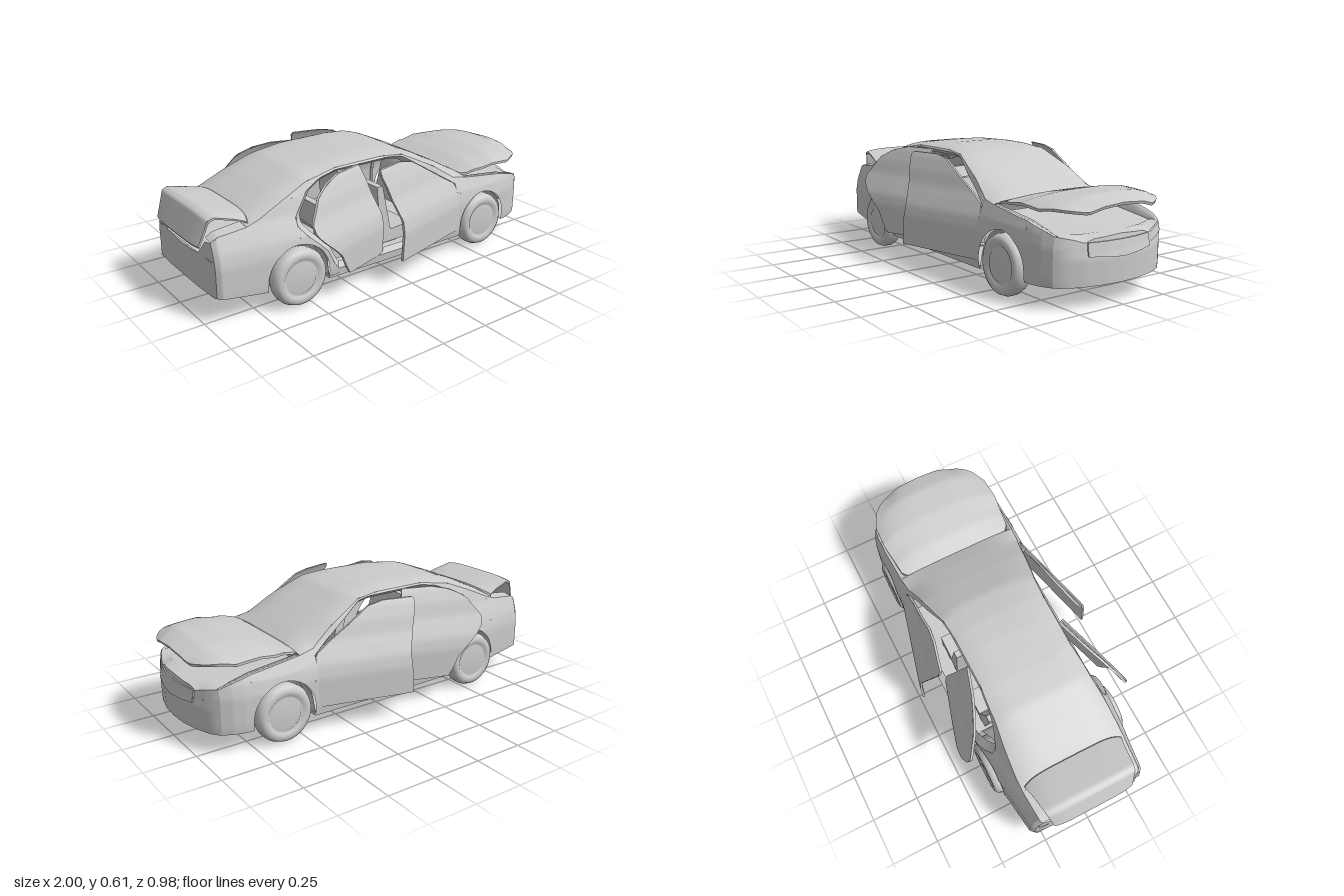
import * as THREE from 'three';
import { mergeGeometries } from 'three/addons/utils/BufferGeometryUtils.js';

const mat = new THREE.MeshStandardMaterial({ color: 0xcccccc, side: THREE.DoubleSide });
const lerp = THREE.MathUtils.lerp;
const vecs = (pts) => pts.map((p) => new THREE.Vector2(...p));

// piecewise linear curve through [t, value] pairs
const curve = (...p) => (t) => {
  const i = p.findIndex((q) => t <= q[0]);
  if (i < 1) return p[i < 0 ? p.length - 1 : 0][1];
  return lerp(p[i - 1][1], p[i][1], (t - p[i - 1][0]) / (p[i][0] - p[i - 1][0]));
};
// body plan half-width along x, and its narrowing with height
const plan = curve([-0.96, 0.285], [-0.93, 0.312], [-0.7, 0.342], [-0.55, 0.355], [-0.3, 0.365], [0, 0.37],
  [0.5, 0.37], [0.7, 0.366], [0.8, 0.355], [0.85, 0.341], [0.9, 0.315]);
const taper = curve([0.09, 0.985], [0.13, 1], [0.27, 1], [0.33, 0.965], [0.4, 0.88], [0.43, 0.84], [0.5, 0.78],
  [0.57, 0.7], [0.59, 0.66]);
const side = (x, y) => plan(x) * taper(y);
// shoulder / roof edge height, and centreline height of the roof
const edge = curve([-0.96, 0.385], [-0.92, 0.41], [-0.78, 0.425], [-0.72, 0.445], [-0.6, 0.5], [-0.45, 0.56],
  [-0.28, 0.588], [0, 0.59], [0.12, 0.578], [0.3, 0.49], [0.42, 0.41], [0.5, 0.395], [0.75, 0.365], [0.85, 0.34], [0.9, 0.32]);
const crown = curve([-0.78, 0.44], [-0.72, 0.475], [-0.6, 0.53], [-0.45, 0.587], [-0.3, 0.603], [-0.1, 0.612],
  [0.02, 0.608], [0.15, 0.588], [0.3, 0.52], [0.42, 0.46], [0.5, 0.415]);
// door opening
const topPts = [[-0.54, 0.42], [-0.46, 0.52], [-0.38, 0.56], [-0.28, 0.58], [0.05, 0.58], [0.12, 0.57], [0.42, 0.38]];
const rearPts = [[-0.54, 0.38], [-0.5, 0.33], [-0.45, 0.285], [-0.4, 0.235], [-0.37, 0.17], [-0.345, 0.13]];
const openTop = curve(...topPts), openRear = curve(...rearPts);
const rearUp = [...rearPts].reverse();

const WHEELS = [-0.555, 0.6], ARCH = 0.16, AXLE = 0.142;
const arch = (c) => (x) => AXLE + Math.sqrt(Math.max(0, ARCH ** 2 - (x - c) ** 2));

// grid surface from fn(u, v) -> [x, y, z]
function grid(fn, nu, nv) {
  const pos = [], idx = [];
  for (let j = 0; j <= nv; j++) for (let i = 0; i <= nu; i++) pos.push(...fn(i / nu, j / nv));
  for (let j = 0; j < nv; j++) for (let i = 0; i < nu; i++) {
    const a = j * (nu + 1) + i, b = a + nu + 1;
    idx.push(a, a + 1, b + 1, a, b + 1, b);
  }
  const g = new THREE.BufferGeometry();
  g.setAttribute('position', new THREE.Float32BufferAttribute(pos, 3));
  g.setIndex(idx);
  g.computeVertexNormals();
  return g;
}
const mesh = (name, geo) => Object.assign(new THREE.Mesh(geo, mat), { name });
const sheet = (name, fn, nu = 24, nv = 12) => mesh(name, grid(fn, nu, nv));

// a sheet given thickness by an offset, with its rim closed
function slab(name, fn, off, nu = 24, nv = 16) {
  const back = (u, v) => fn(u, v).map((c, k) => c + off[k]);
  const rim = (at) => grid((u, t) => fn(...at(u)).map((c, k) => c + off[k] * (1 - t)), 24, 1);
  return mesh(name, mergeGeometries([grid(fn, nu, nv), grid((u, v) => back(1 - u, v), nu, nv),
    rim((u) => [u, 0]), rim((u) => [1 - u, 1]), rim((u) => [0, 1 - u]), rim((u) => [1, u])]));
}
// body side panel between two height curves
const panel = (name, x0, x1, lo, hi) => sheet(name, (u, v) => {
  const x = (x0 + x1) / 2 - (x1 - x0) / 2 * Math.cos(Math.PI * u), y = lerp(lo(x), hi(x), v);
  return [x, y, side(x, y)];
}, 32, 14);
// door between two upright edge curves, swung open about its front edge
function door(name, rear, front, hx, hz, angle) {
  const d = slab(name, (u, v) => {
    const y = lerp(0.13, 0.58, v), x = lerp(rear(y), front(y), u);
    return [x - hx, y, side(x, y) - 0.35];
  }, [0, 0, -0.012], 20, 28);
  d.position.set(hx, 0, hz);
  d.rotation.y = angle;
  return d;
}
// seat cushion and leaning backrest, extruded across the car
function seat(name, x, z, width, lean) {
  const shape = new THREE.Shape(vecs([[x + 0.16, 0.13], [x + 0.17, 0.205], [x + 0.04, 0.195], [x + 0.025 - lean, 0.44],
    [x - 0.01 - lean, 0.44], [x - 0.02, 0.13]]));
  const geo = new THREE.ExtrudeGeometry(shape, { depth: width, bevelEnabled: false });
  return mesh(name, geo.translate(0, 0, z - width / 2));
}
// nose surface: t = -1..1 across, y = height
const noseX = curve([0, 0.992], [0.3, 0.986], [0.6, 0.966], [0.8, 0.943], [0.9, 0.926], [0.96, 0.912], [1, 0.9]);
const noseLean = curve([0.1, 0], [0.22, 0.003], [0.25, -0.005], [0.32, -0.018]);
const noseTop = curve([0, 0.311], [0.45, 0.302], [0.6, 0.287], [0.75, 0.302], [1, 0.32]);
const nose = (t, y, out = 0) => [noseX(Math.abs(t)) + noseLean(y) * (1 - t ** 4) + out, y, t * side(0.9, y)];

function bodySide() {
  const g = new THREE.Group();
  g.name = 'bodySide';
  const [r, f] = WHEELS, flat = (y) => () => y;
  g.add(
    panel('rearCorner', -0.95, r - ARCH, curve([-0.96, 0.13], [-0.71, 0.105]), edge),
    panel('rearQuarter', r - ARCH, -0.54, arch(r), edge),
    panel('rearArchPanel', -0.54, r + ARCH, arch(r), openRear),
    panel('sillRear', r + ARCH, -0.345, flat(0.09), openRear),
    panel('sill', -0.345, 0.42, flat(0.09), flat(0.13)),
    panel('roofRail', -0.54, 0.42, openTop, edge),
    panel('fenderRear', 0.42, f - ARCH, flat(0.09), edge),
    panel('fender', f - ARCH, f + ARCH, arch(f), edge),
    panel('frontCorner', f + ARCH, 0.9, flat(0.1), edge));
  // flange around the door opening
  const rim = new THREE.Path(vecs([...rearUp, ...topPts, [0.42, 0.13], [-0.345, 0.13]]));
  g.add(sheet('doorFrame', (u, v) => {
    const p = rim.getPointAt(u), x = lerp(p.x, -0.06, 0.08 * v), y = lerp(p.y, 0.35, 0.08 * v);
    return [x, y, side(x, y) - 0.035 * v];
  }, 120, 2));
  // ledges beside the engine bay and the boot opening
  g.add(sheet('fenderLedge', (u, v) => {
    const x = lerp(0.5, 0.9, u), y = edge(x), z = side(x, y);
    return [x, v < 1 ? y : 0.31, v > 0 ? Math.min(0.3, z - 0.015) : z];
  }, 16, 2));
  g.add(sheet('bootLedge', (u, v) => {
    const x = lerp(-0.95, -0.78, u), y = edge(x);
    return [x, y + 0.008 * v, lerp(side(x, y), 0.215, v)];
  }, 12, 2));
  // doors
  const upright = (pts) => pts.map(([x, y]) => [y, x]);
  g.add(door('frontDoor', curve([0.13, -0.073], [0.33, -0.058], [0.56, -0.115], [0.58, -0.105]),
    curve([0.38, 0.42], [0.57, 0.12], [0.58, 0.05]), 0.42, 0.35, 0.25));
  g.add(door('rearDoor', curve(...upright([...rearUp, ...topPts.slice(0, 4)])),
    curve([0.13, -0.08], [0.33, -0.068], [0.58, -0.12]), -0.07, 0.336, 0.315));
  // wheels and arch liners
  const profile = [[0, -0.045], [0.115, -0.045], [0.133, -0.036], [0.142, -0.015], [0.142, 0.015], [0.133, 0.036],
    [0.118, 0.045], [0.1, 0.045], [0.092, 0.038], [0.08, 0.036], [0.075, 0.041], [0, 0.043]];
  const tyre = new THREE.LatheGeometry(vecs(profile), 40).rotateX(Math.PI / 2);
  for (const x of WHEELS) {
    const w = mesh('wheel', tyre);
    w.position.set(x, AXLE, 0.332);
    g.add(w, sheet('archLiner', (u, v) => [x - ARCH * Math.cos(Math.PI * u), AXLE + ARCH * Math.sin(Math.PI * u),
      lerp(0.27, 0.345, v)], 24, 1));
  }
  // headlight, following the curve of the nose
  g.add(sheet('headlight', (u, v) => nose(lerp(0.99, 0.62, u),
    lerp(lerp(0.275, 0.245, u), lerp(0.319, 0.285, u), v), 0.004), 12, 4));
  g.add(seat('frontSeat', 0.01, 0.17, 0.19, 0.04));
  return g;
}

export function createModel() {
  const car = new THREE.Group();
  car.name = 'car';
  const left = bodySide(), right = bodySide();
  right.scale.z = -1;
  car.add(left, right, seat('rearBench', -0.33, 0, 0.54, 0.07));
  // roof with both screens
  car.add(sheet('roof', (u, v) => {
    const x = lerp(-0.78, 0.5, u), t = 1 - 2 * v, e = edge(x);
    return [x, e + (crown(x) - e) * (1 - t ** 4), t * side(x, e)];
  }, 64, 32));
  // nose, grille and engine bay
  car.add(sheet('frontBumper', (u, v) => nose(1 - 2 * u, lerp(0.1, noseTop(Math.abs(1 - 2 * u)), v)), 40, 16));
  car.add(slab('grille', (u, v) => nose(lerp(0.57, -0.57, u),
    lerp(0.215 + 0.015 * Math.abs(1 - 2 * u), 0.288, v), 0.006), [-0.01, 0, 0], 16, 4));
  car.add(sheet('radiatorSupport', (u, v) => {
    const t = 1 - 2 * u, p = nose(t, noseTop(Math.abs(t)));
    return [p[0] - 0.05 * v, lerp(p[1], 0.315, v), p[2] * (1 - 0.06 * v)];
  }, 40, 2));
  car.add(sheet('engineBay', (u, v) => [lerp(0.5, noseX(Math.abs(1 - 2 * v)) - 0.05, u), lerp(0.36, 0.312, u),
    0.3 - 0.6 * v], 8, 20));
  // bulkheads ahead of and behind the cabin, and bumper undersides
  const wall = (name, x, halfZ) => sheet(name, (u, v) => {
    const y = lerp(0.1, 0.4, v);
    return [x(y), y, lerp(halfZ(y), -halfZ(y), u)];
  }, 1, 12);
  car.add(wall('firewall', curve([0.1, 0.435], [0.33, 0.46], [0.4, 0.5]), curve([0.1, 0.36], [0.4, 0.32])));
  car.add(wall('rearBulkhead', curve([0.1, -0.39], [0.3, -0.4], [0.4, -0.5]), curve([0.1, 0.35], [0.2, 0.34], [0.4, 0.28])));
  car.add(sheet('frontUnderside', (u, v) => {
    const t = 1 - 2 * v, p = nose(t, 0.1);
    return [lerp(0.762, p[0], u), 0.101, lerp(t * 0.354, p[2], u)];
  }, 4, 32));
  car.add(sheet('rearUnderside', (u, v) => {
    const x = lerp(-0.96, -0.716, u), y = lerp(0.131, 0.107, u);
    return [x, y, lerp(-1, 1, v) * side(x, y)];
  }, 6, 2));
  // hood, raised
  const hoodY = curve([0, 0.412], [0.2, 0.448], [0.5, 0.476], [0.8, 0.478], [0.92, 0.46], [1, 0.447]);
  const hoodW = curve([0, 0.285], [0.06, 0.31], [0.5, 0.33], [0.8, 0.325], [1, 0.285]);
  const hoodDrop = curve([0, 0.005], [0.3, 0.035], [0.8, 0.05], [1, 0]);
  const hoodLip = curve([0, 0], [0.4, 0.008], [0.65, 0.028], [1, 0.016]);
  car.add(slab('hood', (u, v) => {
    const t = 1 - 2 * v, s = Math.abs(t);
    return [lerp(0.5, 0.99 - 0.09 * s ** 4, u), hoodY(u) - hoodDrop(u) * s ** 3 - hoodLip(s) * u ** 8, t * hoodW(u)];
  }, [-0.004, -0.012, 0], 32, 32));
  // tail and boot
  const tailTop = curve([0, 0.3], [0.55, 0.31], [0.75, 0.36], [0.85, 0.385], [1, 0.389]);
  car.add(sheet('rearBumper', (u, v) => {
    const t = 2 * u - 1, y = lerp(0.131, tailTop(Math.abs(t)), v);
    return [-0.965 + 0.015 * t ** 4, y, t * side(-0.95, y)];
  }, 40, 12));
  car.add(sheet('bootFloor', (u, v) => [lerp(-0.96, -0.4, u), 0.305, lerp(0.28, -0.28, v)], 2, 2));
  // boot lid, raised
  const lidX = curve([0, -0.745], [0.25, -0.82], [0.5, -0.92], [0.6, -0.95], [1, -0.998]);
  const lidY = curve([0, 0.47], [0.25, 0.485], [0.5, 0.503], [0.6, 0.49], [1, 0.362]);
  car.add(slab('bootLid', (u, v) => {
    const t = 2 * v - 1;
    return [lidX(u) + (0.012 * u - 0.025 * (1 - u) ** 4) * t ** 6, lidY(u) - 0.025 * t ** 4 * (1 - u), t * lerp(0.265, 0.215, u)];
  }, [0.006, -0.01, 0], 30, 24));
  // floor pan with four openings
  const rect = (x0, x1, z0, z1) => vecs([[x0, z0], [x1, z0], [x1, z1], [x0, z1]]);
  const pan = new THREE.Shape(rect(-0.395, 0.44, -0.36, 0.36));
  for (const x of [0.08, -0.22]) for (const z of [-0.17, 0.17])
    pan.holes.push(new THREE.Path(rect(x - 0.045, x + 0.045, z - 0.05, z + 0.05)));
  const floor = new THREE.ExtrudeGeometry(pan, { depth: 0.012, bevelEnabled: false }).rotateX(-Math.PI / 2);
  car.add(mesh('floor', floor.translate(0, 0.09, 0)));
  return car;
}
